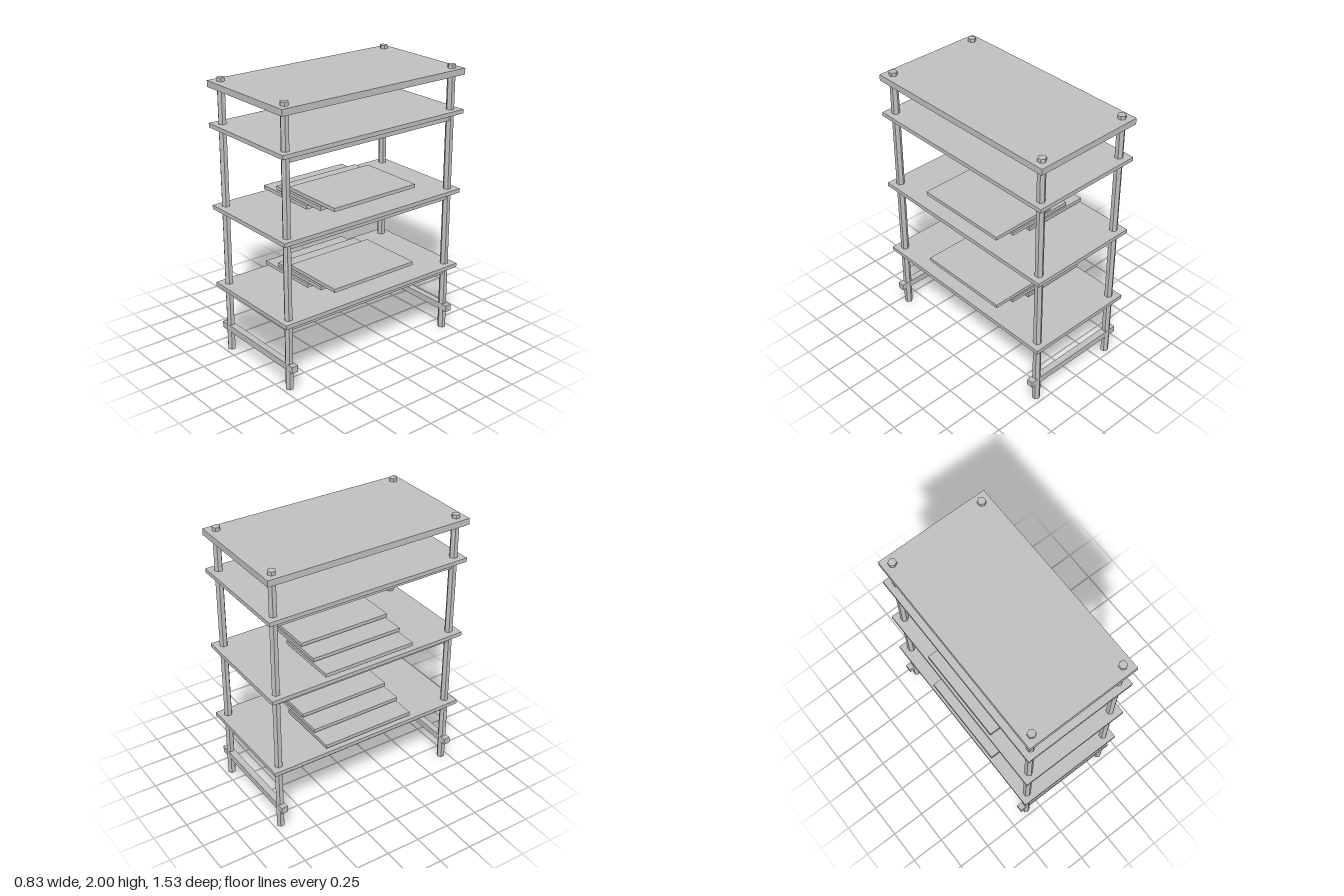
import * as THREE from 'three';

export function createModel() {
  const model = new THREE.Group();
  model.name = 'shelvingRack';
  const grey = new THREE.MeshStandardMaterial({ color: 0xc0c0c0 });
  grey.name = 'grey';
  grey.flatShading = true;

  // Box spanning y0..y1, centred on (x, z)
  function slab(name, w, d, y0, y1, x = 0, z = 0) {
    const mesh = new THREE.Mesh(new THREE.BoxGeometry(w, y1 - y0, d), grey);
    mesh.name = name;
    mesh.position.set(x, (y0 + y1) / 2, z);
    model.add(mesh);
  }

  // Hexagonal corner posts
  const postGeometry = new THREE.CylinderGeometry(0.029, 0.029, 2, 6);
  for (const x of [-0.35, 0.35]) {
    for (const z of [-0.7, 0.7]) {
      const post = new THREE.Mesh(postGeometry, grey);
      post.name = 'post';
      post.position.set(x, 1, z);
      model.add(post);
    }
  }

  // Thick top board
  slab('topBoard', 0.83, 1.53, 1.93, 1.975);

  // Shelves, each with a thicker core underneath
  for (const top of [0.519, 1.101, 1.684]) {
    slab('shelf', 0.83, 1.53, top - 0.029, top);
    slab('shelfCore', 0.73, 1.36, top - 0.078, top - 0.029);
  }

  // Staggered stacks of sheets on the two lower shelves
  for (const base of [0.542, 1.124]) {
    for (let i = 0; i < 3; i++) {
      const y = base + i * 0.039;
      slab('sheet', 0.495, 0.7, y, y + 0.026, -0.152 + i * 0.15);
    }
  }

  // Cross bars between the feet
  for (const z of [-0.7, 0.7]) slab('footBar', 0.83, 0.048, 0.148, 0.196, 0, z);

  return model;
}
